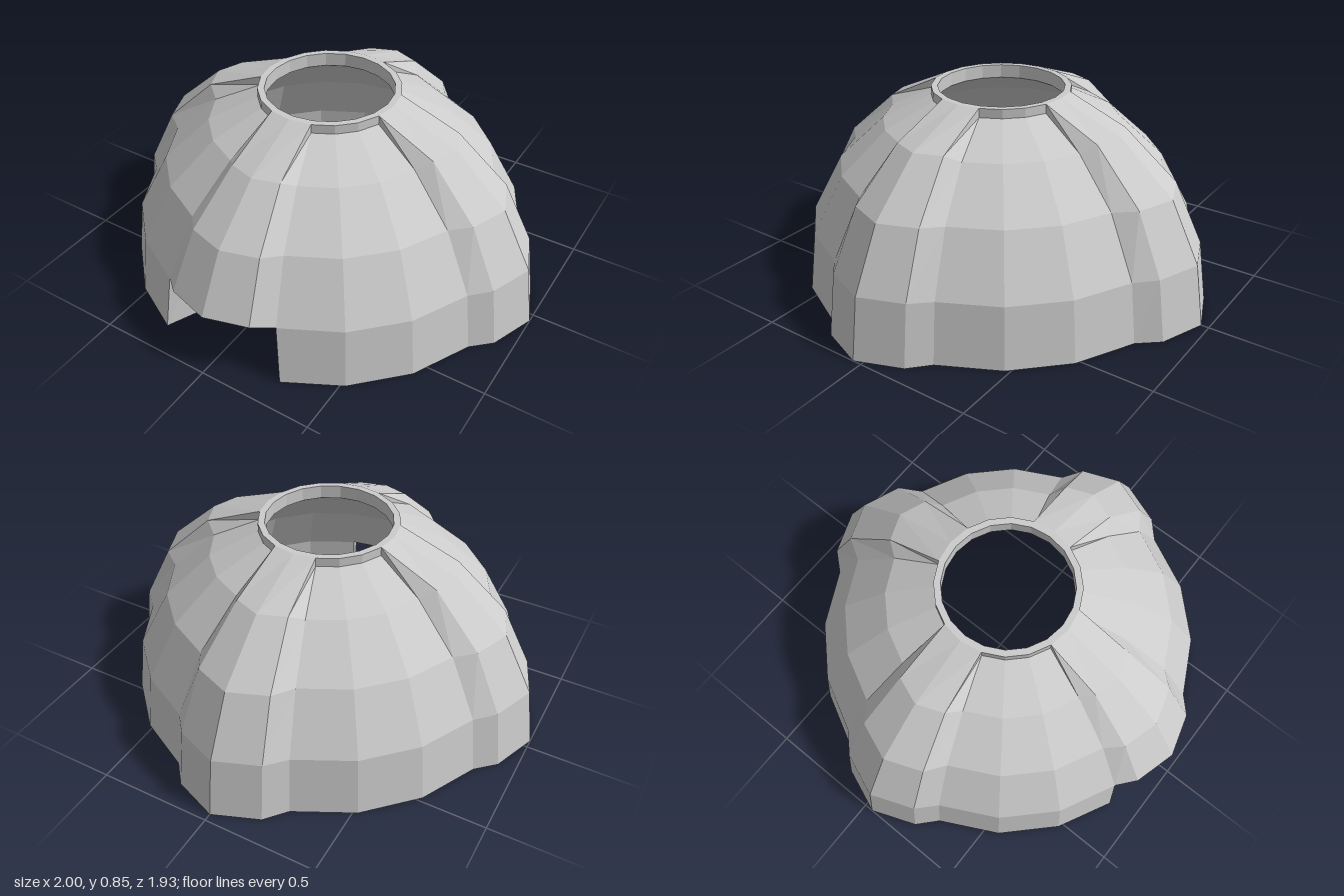
import * as THREE from 'three';

const DEG = Math.PI / 180;
const STEP = 18;          // twenty-sided dome
const EDGE = 12;          // half angle of a raised panel's face
const CENTRE_Z = 0.04;

// Section points as [radius, height], from the ground up the outside
const WALL = [[0.885, 0], [0.85, 0.265], [0.715, 0.517], [0.517, 0.7], [0.304, 0.805]];
const SIDE = [[1, 0], [0.96, 0.27], [0.825, 0.527], [0.595, 0.735], [0.304, 0.845]];
const BACK = [[1.007, 0], [0.965, 0.27], [0.835, 0.527], [0.592, 0.735], [0.304, 0.845]];
const FRONT = [[0.96, 0], [0.927, 0.283], [0.793, 0.525], [0.567, 0.722], [0.304, 0.845]];
// Over the collar, through the hole and down the inside
const INSIDE = [[0.304, 0.845], [0.275, 0.845], [0.275, 0.785], [0.44, 0.678],
  [0.61, 0.5], [0.725, 0.257], [0.748, 0]];

function point(radius, height, degrees) {
  const t = degrees * DEG;
  return new THREE.Vector3(radius * Math.sin(t), height, radius * Math.cos(t) + CENTRE_Z);
}

// One upright section; a panel's edge joins its neighbour at the collar and inside
function section(outside, angle, innerAngle = angle, scale = 1) {
  const outer = outside.map(([r, y], i) =>
    i < 4 ? point(r * scale, y, angle) : point(r, y, innerAngle));
  return outer.concat(INSIDE.map(([r, y]) => point(r, y, innerAngle)));
}

// All sections round the dome, starting at the right side of the doorway
function makeSections() {
  const sections = [];
  [FRONT, SIDE, BACK, SIDE].forEach((panel, i) => {
    const mid = i * 90;
    const scale = panel === FRONT ? 0.965 : 0.945;
    sections.push(
      section(WALL, mid - STEP),
      section(panel, mid - EDGE, mid - STEP, scale),
      section(panel, mid),
      section(panel, mid + EDGE, mid + STEP, scale),
      section(WALL, mid + STEP),
      section(WALL, mid + 2 * STEP),
      section(WALL, mid + 3 * STEP)
    );
  });
  // The doorway's outer corners narrow slightly towards the top
  sections[0][0] = point(0.885, 0, -19);
  sections[4][0] = point(0.885, 0, 19);
  return sections;
}

function addTriangle(list, a, b, c) {
  const area = b.clone().sub(a).cross(c.clone().sub(a)).length();
  if (area > 1e-7) list.push(a, b, c);
}

function addQuad(list, a, b, c, d) {
  addTriangle(list, a, b, c);
  addTriangle(list, a, c, d);
}

function partOf(row) {
  if (row < 4) return 'outerShell';
  if (row < 7) return 'topCollar';
  return row < 11 ? 'innerVault' : 'footing';
}

export function createModel() {
  const group = new THREE.Group();
  group.name = 'dome';
  const parts = { outerShell: [], topCollar: [], innerVault: [], footing: [], doorway: [] };
  const sections = makeSections();

  // Skin between neighbouring sections; the doorway leaves out the lowest course
  sections.forEach((a, i) => {
    const b = sections[(i + 1) % sections.length];
    const door = i < 4;
    const first = door ? 1 : 0;
    const last = door ? 10 : 11;
    for (let row = first; row <= last; row++) {
      const next = row === last ? first : row + 1;
      const name = door && row === last ? 'doorway' : partOf(row);
      addQuad(parts[name], a[row], b[row], b[next], a[next]);
    }
  });

  // Doorway side walls
  const left = sections[4], right = sections[0];
  addQuad(parts.doorway, left[11], left[0], left[1], left[10]);
  addQuad(parts.doorway, right[10], right[1], right[0], right[11]);

  const material = new THREE.MeshStandardMaterial({ color: 0xcccccc, flatShading: true });
  for (const [name, points] of Object.entries(parts)) {
    const geometry = new THREE.BufferGeometry().setFromPoints(points);
    geometry.computeVertexNormals();
    const mesh = new THREE.Mesh(geometry, material);
    mesh.name = name;
    group.add(mesh);
  }
  return group;
}
